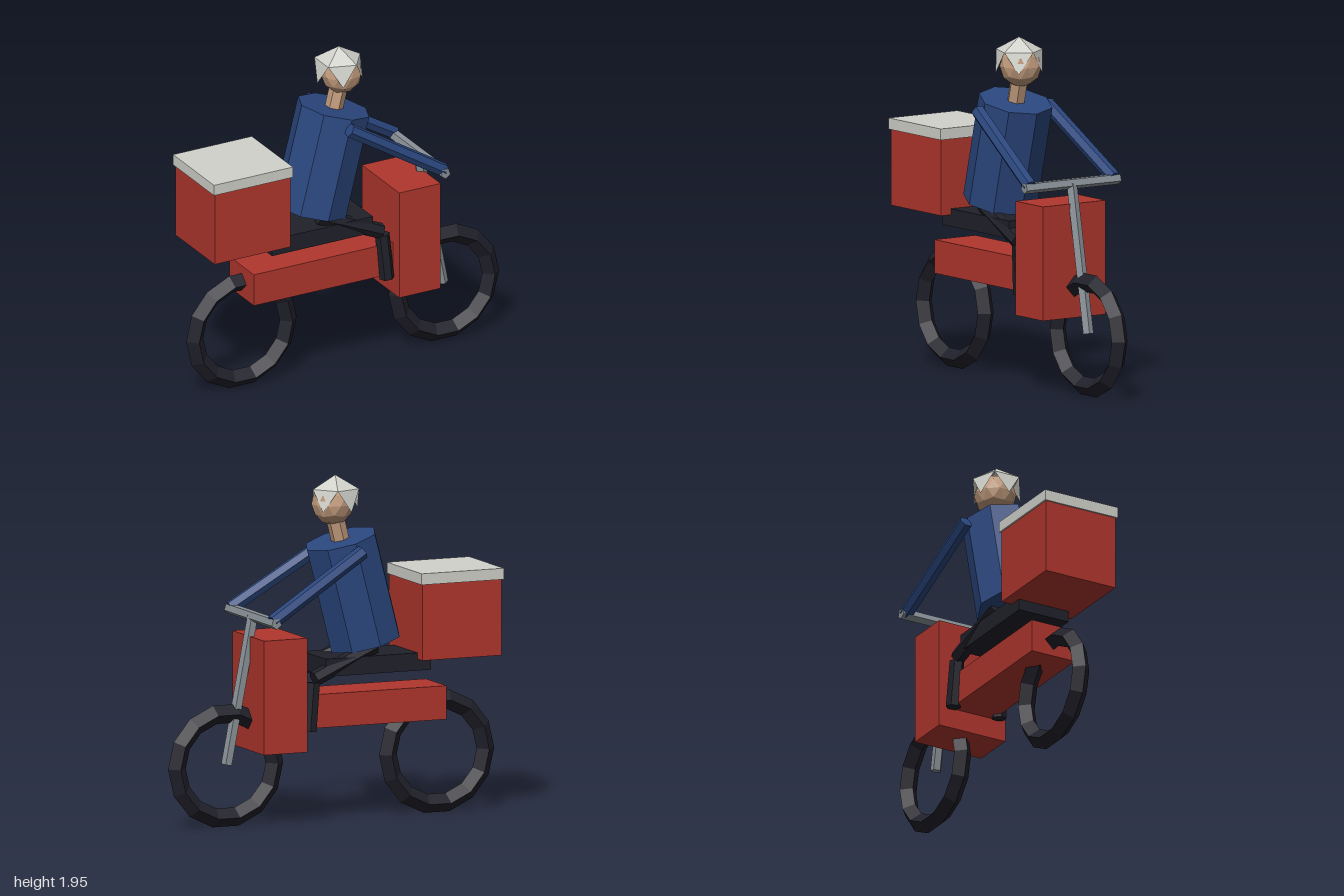
import * as THREE from 'three';

export function createModel() {
  const root = new THREE.Group();
  root.name = 'deliveryRider';

  const paint = (name, color) => {
    const m = new THREE.MeshStandardMaterial({ color });
    m.name = name;
    m.flatShading = true;
    return m;
  };
  const red = paint('red', 0xb0362d);
  const blue = paint('blue', 0x2b477f);
  const dark = paint('dark', 0x20202a);
  const steel = paint('steel', 0x8a9298);
  const white = paint('offWhite', 0xd2d2cc);
  const skin = paint('skin', 0xc09a7c);

  const add = (name, geometry, material) => {
    const mesh = new THREE.Mesh(geometry, material);
    mesh.name = name;
    root.add(mesh);
    return mesh;
  };

  // Box given by its extents in x and y and its half depth
  const box = (name, material, x0, x1, y0, y1, halfZ) =>
    add(name, new THREE.BoxGeometry(x1 - x0, y1 - y0, halfZ * 2), material)
      .position.set((x0 + x1) / 2, (y0 + y1) / 2, 0);

  // Straight rod between two points
  const up = new THREE.Vector3(0, 1, 0);
  const rod = (name, material, a, b, radius, sides) => {
    const from = new THREE.Vector3(...a);
    const to = new THREE.Vector3(...b);
    const dir = to.clone().sub(from);
    const mesh = add(name, new THREE.CylinderGeometry(radius, radius, dir.length(), sides), material);
    mesh.position.copy(from).add(to).multiplyScalar(0.5);
    mesh.quaternion.setFromUnitVectors(up, dir.normalize());
  };

  // Wheels
  for (const [name, x] of [['rearWheel', -0.647], ['frontWheel', 0.647]]) {
    add(name, new THREE.TorusGeometry(0.299, 0.054, 4, 14), dark).position.set(x, 0.345, 0);
  }

  // Bodywork, seat and cargo box
  box('frame', red, -0.645, 0.3, 0.545, 0.735, 0.14);
  box('legShield', red, 0.243, 0.508, 0.425, 1.07, 0.215);
  box('seat', dark, -0.54, 0.105, 0.835, 0.935, 0.16);
  box('cargoBox', red, -0.943, -0.458, 0.9, 1.33, 0.226);
  box('cargoLid', white, -0.953, -0.449, 1.33, 1.393, 0.236);

  // Steering
  rod('fork', steel, [0.64, 0.35, 0], [0.48, 1.18, 0], 0.032, 5);
  rod('handlebar', steel, [0.48, 1.18, -0.323], [0.48, 1.18, 0.323], 0.032, 5);

  // Rider's torso, neck and head
  rod('torso', blue, [-0.208, 0.993, 0], [-0.057, 1.583, 0], 0.211, 8);
  rod('neck', skin, [-0.06, 1.56, 0], [-0.02, 1.72, 0], 0.052, 6);
  const head = add('head', new THREE.IcosahedronGeometry(0.119, 1), skin);
  head.position.set(-0.008, 1.785, 0);
  head.rotation.z = 0.5536;

  // Helmet: five-sided cap with five points hanging below it
  const ring = (i, offset, y) => {
    const a = (i + offset) * Math.PI * 0.4;
    return [0.894 * Math.cos(a), y, 0.894 * Math.sin(a)];
  };
  const corners = [];
  for (let i = 0; i < 5; i++) {
    const u = ring(i, 0, 0.447);
    const v = ring(i + 1, 0, 0.447);
    corners.push(0, 1, 0, ...v, ...u);
    corners.push(...u, ...v, ...ring(i, 0.5, -0.447));
  }
  const cap = new THREE.BufferGeometry();
  cap.setAttribute('position', new THREE.Float32BufferAttribute(corners, 3));
  cap.scale(0.153, 0.137, 0.153);
  cap.computeVertexNormals();
  white.side = THREE.DoubleSide;
  add('helmet', cap, white).position.set(-0.025, 1.811, 0);

  // Arms and legs, mirrored
  for (const [side, s] of [['left', 1], ['right', -1]]) {
    rod(side + 'Arm', blue, [-0.088, 1.54, s * 0.237], [0.488, 1.187, s * 0.287], 0.04, 6);
    rod(side + 'Thigh', dark, [-0.215, 0.985, s * 0.11], [0.167, 0.825, s * 0.14], 0.045, 6);
    rod(side + 'Shin', dark, [0.175, 0.805, s * 0.14], [0.2, 0.532, s * 0.15], 0.042, 6);
  }
  return root;
}
